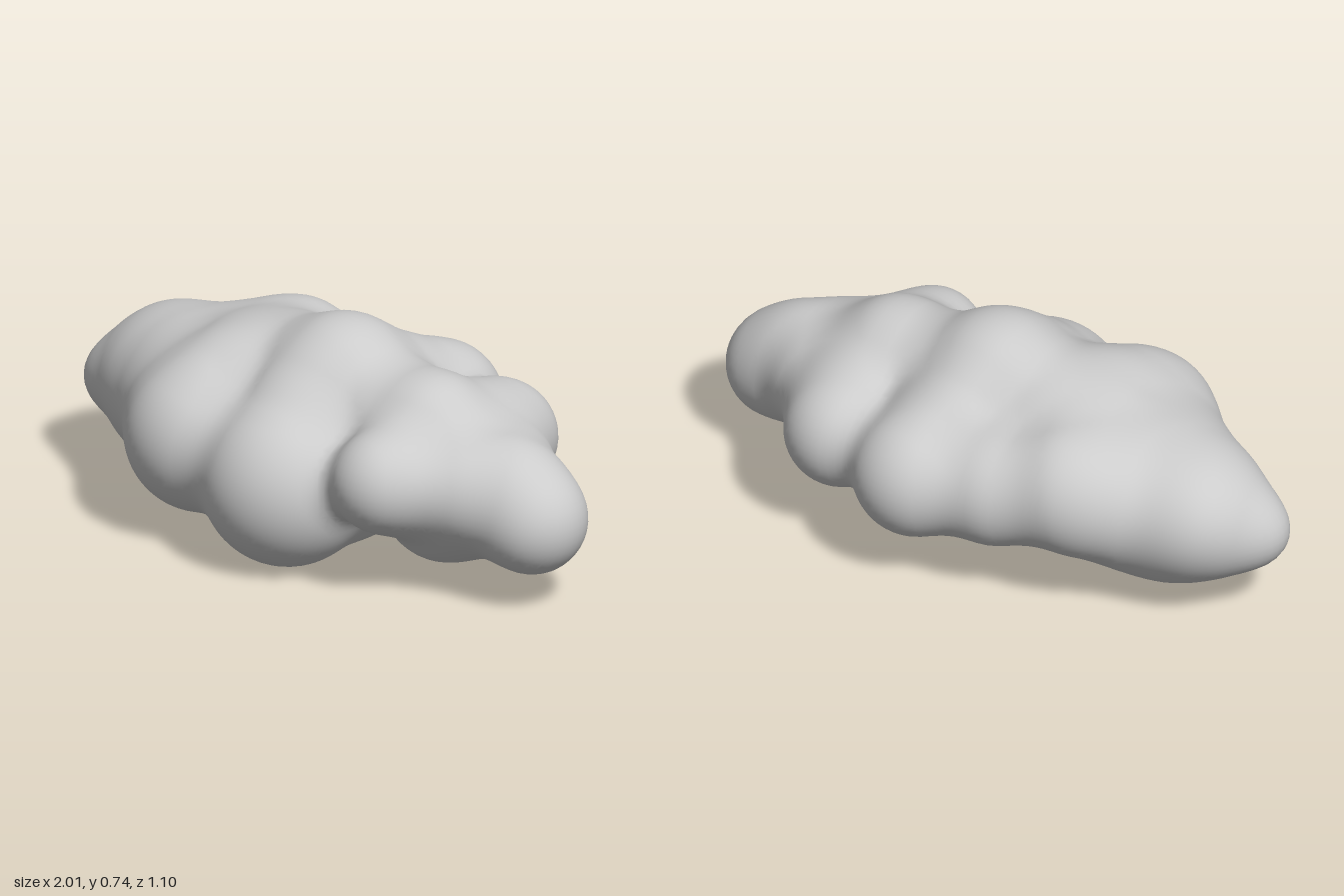
import * as THREE from 'three';

// Puffs of the cloud: [x, y, z, radius]
const PUFFS = [
  // right-hand chain, ending in a round tip
  [0.825, 0.295, 0.03, 0.174], [0.64, 0.34, 0.02, 0.19], [0.73, 0.36, 0.03, 0.15],
  [0.58, 0.37, 0.14, 0.155], [0.57, 0.37, -0.11, 0.155],
  [0.40, 0.455, 0.03, 0.21], [0.47, 0.28, 0.02, 0.215],
  [0.43, 0.385, 0.275, 0.165], [0.42, 0.37, -0.27, 0.182],
  [0.42, 0.38, -0.14, 0.18],
  // middle
  [0.03, 0.51, 0.02, 0.243], [0.03, 0.24, 0.02, 0.225], [0.22, 0.425, 0.02, 0.21],
  [0.03, 0.285, 0.275, 0.272], [0.10, 0.37, -0.345, 0.204],
  [0.06, 0.45, -0.18, 0.175], [0.08, 0.31, -0.17, 0.19], [0.0, 0.45, 0.16, 0.18],
  // left of the middle
  [-0.33, 0.34, 0.26, 0.25], [-0.38, 0.415, -0.215, 0.212],
  [-0.15, 0.375, -0.285, 0.19], [-0.37, 0.41, 0.0, 0.235],
  [-0.20, 0.445, 0.0, 0.23], [-0.36, 0.28, 0.0, 0.225],
  [-0.30, 0.445, 0.15, 0.19], [-0.49, 0.34, 0.15, 0.2], [-0.5, 0.38, -0.15, 0.188],
  // tapering left end
  [-0.61, 0.325, 0.0, 0.262], [-0.75, 0.36, -0.08, 0.182], [-0.75, 0.33, 0.01, 0.165],
  [-0.84, 0.315, -0.01, 0.115], [-0.92, 0.30, 0.02, 0.08],
];
const BLEND = 0.1;

// Distance to the smoothly merged puffs
function field(x, y, z) {
  let d = Infinity;
  for (const [px, py, pz, r] of PUFFS) {
    const s = Math.hypot(x - px, y - py, z - pz) - r;
    const h = Math.max(BLEND - Math.abs(d - s), 0);
    d = Math.min(d, s) - (h * h) / (4 * BLEND);
  }
  return d;
}

function gradient(x, y, z) {
  const e = 0.004;
  return new THREE.Vector3(
    field(x + e, y, z) - field(x - e, y, z),
    field(x, y + e, z) - field(x, y - e, z),
    field(x, y, z + e) - field(x, y, z - e)
  ).normalize();
}

// Surface net: one vertex per grid cell the surface crosses, one quad per crossed edge
function cloudGeometry() {
  const step = 0.026, min = [-1.1, -0.12, -0.68], n = [86, 38, 53];
  const stride = [1, n[0], n[0] * n[1]];
  const total = n[0] * n[1] * n[2];
  const values = new Float32Array(total), cell = new Int32Array(total).fill(-1);
  const at = (i, j, k) => i + j * stride[1] + k * stride[2];
  const each = (from, to, fn) => {
    for (let k = from; k < n[2] - to; k++)
      for (let j = from; j < n[1] - to; j++)
        for (let i = from; i < n[0] - to; i++) fn(i, j, k, at(i, j, k));
  };
  each(0, 0, (i, j, k, id) => {
    values[id] = field(min[0] + i * step, min[1] + j * step, min[2] + k * step);
  });

  const positions = [], normals = [], index = [];
  each(0, 1, (i, j, k, id) => {
    let inside = 0;
    for (let c = 0; c < 8; c++)
      if (values[id + (c & 1) + ((c >> 1) & 1) * stride[1] + (c >> 2) * stride[2]] < 0) inside++;
    if (inside === 0 || inside === 8) return;
    // start at the cell centre and slide onto the surface
    const p = new THREE.Vector3(i + 0.5, j + 0.5, k + 0.5).multiplyScalar(step)
      .add(new THREE.Vector3(...min));
    for (let t = 0; t < 4; t++)
      p.addScaledVector(gradient(p.x, p.y, p.z), -field(p.x, p.y, p.z));
    cell[id] = positions.length / 3;
    positions.push(p.x, p.y, p.z);
    normals.push(...gradient(p.x, p.y, p.z).toArray());
  });

  each(1, 1, (i, j, k, id) => {
    for (let axis = 0; axis < 3; axis++) {
      const a = values[id] < 0, b = values[id + stride[axis]] < 0;
      if (a === b) continue;
      const u = stride[(axis + 1) % 3], v = stride[(axis + 2) % 3];
      const q = [cell[id - u - v], cell[id - v], cell[id], cell[id - u]];
      if (!a) q.reverse();
      index.push(q[0], q[1], q[2], q[0], q[2], q[3]);
    }
  });

  const geometry = new THREE.BufferGeometry();
  geometry.setAttribute('position', new THREE.Float32BufferAttribute(positions, 3));
  geometry.setAttribute('normal', new THREE.Float32BufferAttribute(normals, 3));
  geometry.setIndex(index);

  // stand on the ground, centred
  geometry.computeBoundingBox();
  const box = geometry.boundingBox, c = box.getCenter(new THREE.Vector3());
  geometry.translate(-c.x, -box.min.y, -c.z);
  return geometry;
}

export function createModel() {
  const group = new THREE.Group();
  group.name = 'cloud';
  const body = new THREE.Mesh(cloudGeometry(), new THREE.MeshStandardMaterial({ color: 0xcccccc }));
  body.name = 'cloudBody';
  group.add(body);
  return group;
}
